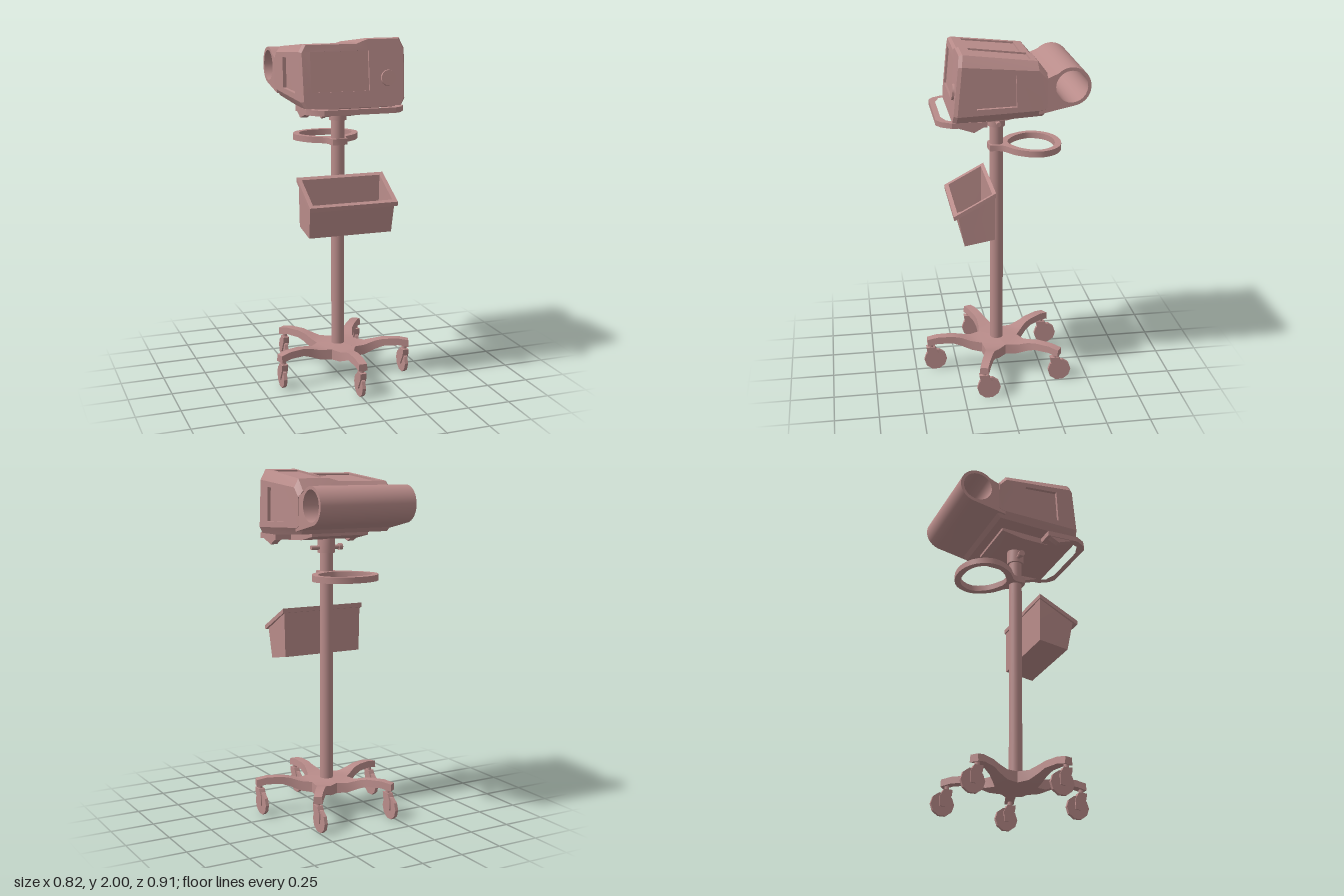
import * as THREE from 'three';
import { toCreasedNormals } from 'three/addons/utils/BufferGeometryUtils.js';

const material = new THREE.MeshStandardMaterial({ color: 0xb98c8a });
const V = (x, y, z) => new THREE.Vector3(x, y, z);

function add(parent, name, geometry, x = 0, y = 0, z = 0) {
  const mesh = new THREE.Mesh(geometry, material);
  mesh.name = name;
  mesh.position.set(x, y, z);
  parent.add(mesh);
  return mesh;
}

// Collects faces for lofted parts with optional recessed panels
class Skin {
  constructor() { this.p = []; }
  tri(...pts) { pts.forEach(v => this.p.push(v.x, v.y, v.z)); }
  quad(a, b, c, d) { this.tri(a, b, c); this.tri(a, c, d); }
  fan(ring) { for (let i = 1; i < ring.length - 1; i++) this.tri(ring[0], ring[i], ring[i + 1]); }
  bridge(lo, hi, panels = {}) {
    lo.forEach((a, i) => {
      const j = (i + 1) % lo.length, q = [a, lo[j], hi[j], hi[i]];
      if (panels[i]) this.recess(q, ...panels[i]); else this.quad(...q);
    });
  }
  sink(rim, depth) {
    const n = rim[1].clone().sub(rim[0]).cross(rim[2].clone().sub(rim[0])).normalize();
    const floor = rim.map(v => v.clone().addScaledVector(n, -depth));
    this.bridge(rim, floor);
    this.fan(floor);
  }
  recess(q, u0, u1, v0, v1, depth) {
    const at = (u, v) => q[0].clone().lerp(q[1], u).lerp(q[3].clone().lerp(q[2], u), v);
    const rim = [at(u0, v0), at(u1, v0), at(u1, v1), at(u0, v1)];
    this.bridge(q, rim);
    this.sink(rim, depth);
  }
  loft(rings) {
    this.fan([...rings[0]].reverse());
    for (let i = 0; i < rings.length - 1; i++) this.bridge(rings[i], rings[i + 1]);
    this.fan(rings[rings.length - 1]);
    return this;
  }
  geometry(crease = 0.5) {
    const g = new THREE.BufferGeometry();
    g.setAttribute('position', new THREE.Float32BufferAttribute(this.p, 3));
    return toCreasedNormals(g, crease);
  }
}

// Profile drawn as (z, y), extruded across x and centred
function acrossX(shape, width, curveSegments = 16) {
  const g = new THREE.ExtrudeGeometry(shape, { depth: width, bevelEnabled: false, curveSegments });
  return toCreasedNormals(g.translate(0, 0, -width / 2).rotateY(-Math.PI / 2), 0.6);
}
const polygon = pts => new THREE.Shape(pts.map(p => new THREE.Vector2(...p)));

// Flat symmetric plate from half outlines given as (x, z), with a hole
function plate(half, hole, height, curved) {
  const full = pts => {
    const all = [...pts, ...[...pts].reverse().map(([x, z]) => [-x, z])].map(([x, z]) => new THREE.Vector2(x, -z));
    return curved ? new THREE.SplineCurve([...all, all[0]]).getPoints(48).slice(0, -1) : all;
  };
  const shape = new THREE.Shape(full(half));
  shape.holes.push(new THREE.Path(full(hole)));
  const g = new THREE.ExtrudeGeometry(shape, { depth: height, bevelEnabled: false });
  return toCreasedNormals(g.rotateX(-Math.PI / 2), 0.5);
}

function buildBase(root) {
  const base = new THREE.Group();
  base.name = 'base';
  root.add(base);
  // Radius, half width, bottom, top, top taper
  const sections = [[0, 0, .13, .2, 1], [.1, .0727, .13, .192, 1], [.16, .046, .135, .192, .95], [.22, .032, .16, .21, .85],
    [.27, .03, .178, .22, .85], [.36, .028, .18, .22, .85], [.42, .027, .167, .208, .85]];
  const leg = new Skin().loft(sections.map(([r, w, b, t, k]) =>
    [V(-w, b, r), V(w, b, r), V(w * k, t, r), V(-w * k, t, r)])).geometry(0.6);
  const wheel = new THREE.CylinderGeometry(.068, .068, .02, 10).rotateZ(Math.PI / 2).toNonIndexed();
  wheel.computeVertexNormals();
  const fork = acrossX(polygon([[-.016, -.012], [.012, -.016], [.05, .05], [.055, .085], [.005, .085], [-.018, .045]]), .036);
  const stem = new THREE.CylinderGeometry(.014, .014, .04, 10);
  for (let i = 0; i < 5; i++) {
    const a = i * Math.PI * 2 / 5;
    add(base, 'leg', leg, 0, 0, .01).rotation.y = a;
    const caster = new THREE.Group();
    caster.name = 'caster';
    caster.position.set(.395 * Math.sin(a), .068, .01 + .395 * Math.cos(a) - .022);
    base.add(caster);
    add(caster, 'wheel', wheel);
    add(caster, 'fork', fork);
    add(caster, 'stem', stem, 0, .098, .026);
  }
}

function buildBasket(root) {
  // Half width, then front y, z and back y, z; outside up, over the rim, down inside
  const rings = [[.245, .905, .225, .935, .055], [.25, 1.075, .258, 1.19, .055], [.26, 1.066, .283, 1.192, .05],
    [.26, 1.09, .285, 1.218, .05], [.235, 1.1, .262, 1.205, .068], [.23, .92, .213, .95, .068]]
    .map(([x, yf, zf, yb, zb]) => [V(-x, yf, zf), V(x, yf, zf), V(x, yb, zb), V(-x, yb, zb)]);
  add(root, 'basket', new Skin().loft(rings).geometry(0.2));
}

function buildDevice(root) {
  const device = new THREE.Group();
  device.name = 'device';
  root.add(device);

  // Housing outline seen from the front, lofted back to front
  const outline = [[-.275, 1.625], [.275, 1.625], [.3, 1.67], [.304, 1.94], [.275, 2], [.085, 2],
    [.02, 1.977], [-.28, 1.977], [-.304, 1.935], [-.3, 1.67]];
  const frontZ = y => .285 - .1 * (y - 1.63);
  const ring = rule => outline.map(([x, y]) => V(...rule(x, y, (y - 1.625) / .375)));
  const rear = ring((x, y, t) => [x, 1.68 + .21 * t, -.222]);
  const back = ring((x, y, t) => [x, y + .03 - .075 * t, -.2 + .03 * t]);
  const main = ring((x, y) => [x, y, frontZ(y) - .02]);
  const face = ring((x, y) => [x * .96, 1.81 + (y - 1.81) * .97, frontZ(y)]);
  const skin = new Skin();
  skin.fan([...rear].reverse());
  skin.bridge(rear, back);
  skin.bridge(back, main, {
    2: [.13, .88, .3, .78, .02], 8: [.12, .87, .3, .78, .02],
    4: [.15, .95, .08, .88, .01], 6: [.03, .9, .12, .87, .01],
  });
  skin.bridge(main, face);
  // Front face with the sunken screen
  const screen = [[-.245, 1.72], [.09, 1.72], [.09, 1.935], [-.245, 1.935]].map(([x, y]) => V(x, y, frontZ(y)));
  const hole = [...screen].reverse();
  const all = [...face, ...hole];
  THREE.ShapeUtils.triangulateShape(face.map(v => new THREE.Vector2(v.x, v.y)), [hole.map(v => new THREE.Vector2(v.x, v.y))])
    .forEach(f => skin.tri(...f.map(i => all[i])));
  skin.sink(screen, .012);
  add(device, 'housing', skin.geometry(0.3));

  const dial = new THREE.CylinderGeometry(.043, .047, .024, 14).rotateX(Math.PI / 2);
  add(device, 'dial', toCreasedNormals(dial, 0.6), .2, 1.785, frontZ(1.785)).rotation.x = -.1;

  // Hollow carrying handle joined to the back of the housing
  const profile = new THREE.Shape();
  profile.moveTo(-.18, 1.67);
  profile.lineTo(-.18, 1.88);
  profile.lineTo(-.225, 1.866);
  profile.absarc(-.353, 1.815, .105, Math.PI * .25, Math.PI * 1.42, false);
  profile.closePath();
  profile.holes.push(new THREE.Path().absarc(-.353, 1.815, .087, 0, Math.PI * 2, true));
  add(device, 'carryHandle', acrossX(profile, .598, 12));

  // Tray with front grip, mounting plate and feet
  add(device, 'trayGrip', plate([[.28, .1], [.28, .29], [.245, .345], [.205, .37]],
    [[.235, .285], [.222, .313], [.15, .338]], .03), 0, 1.605, 0);
  add(device, 'mountPlate', acrossX(polygon([[.14, 1.6], [.14, 1.64], [-.15, 1.665], [-.15, 1.635], [-.02, 1.608]]), .36));
  const foot = acrossX(polygon([[.26, 1.605], [.26, 1.63], [.1, 1.63], [.12, 1.603], [.17, 1.575]]), .04);
  for (const s of [-1, 1]) add(device, 'foot', foot, s * .255, 0, 0);
}

export function createModel() {
  const root = new THREE.Group();
  root.name = 'deviceTrolley';
  buildBase(root);
  add(root, 'pole', new THREE.CylinderGeometry(.038, .038, 1.4, 24), 0, .87, .01);
  buildBasket(root);

  // Push handle ring around the pole
  add(root, 'pushHandle', plate(
    [[.045, .053], [.06, -.02], [.145, -.09], [.195, -.2], [.155, -.3], [.06, -.352]],
    [[.03, -.06], [.115, -.115], [.16, -.2], [.125, -.28], [.05, -.317]], .035, true), 0, 1.39, 0);

  // Pole head with clamp screws
  add(root, 'poleHead', toCreasedNormals(new THREE.CylinderGeometry(.05, .05, .085, 24), 0.6), 0, 1.572, .01);
  const pin = new THREE.CylinderGeometry(.013, .013, .2, 12).rotateZ(Math.PI / 2);
  const knob = new THREE.CylinderGeometry(.019, .019, .022, 12).rotateZ(Math.PI / 2);
  add(root, 'clampPin', pin, 0, 1.56, .01);
  add(root, 'clampKnob', knob, -.09, 1.56, .01);
  buildDevice(root);
  return root;
}
